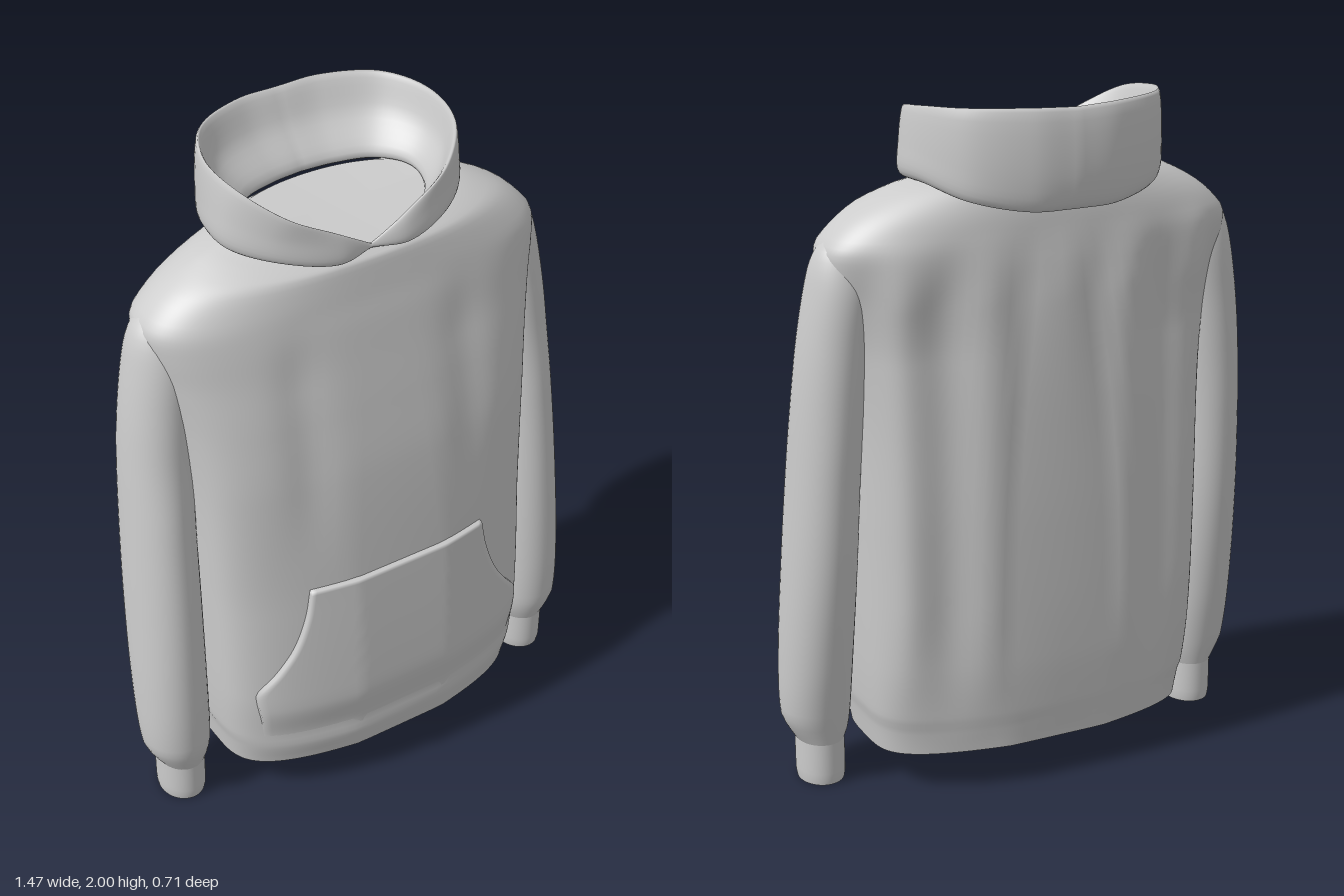
import * as THREE from 'three';

const material = new THREE.MeshStandardMaterial({ color: 0xcccccc });
const { clamp, smoothstep } = THREE.MathUtils;

// Smooth lookup in a table of rows [key, value, value, ...]
function sample(table, y) {
  const last = table.length - 1;
  let i = 0;
  while (i < last - 1 && y > table[i + 1][0]) i++;
  const a = table[i], b = table[i + 1], h = b[0] - a[0];
  const t = clamp((y - a[0]) / h, 0, 1);
  const slope = (k, c) => {
    const p = table[Math.max(k - 1, 0)], q = table[Math.min(k + 1, last)];
    return (q[c] - p[c]) / (q[0] - p[0]);
  };
  return a.slice(1).map((v, k) => {
    const c = k + 1, t2 = t * t, t3 = t2 * t;
    return v * (2 * t3 - 3 * t2 + 1) + b[c] * (3 * t2 - 2 * t3)
      + h * (slope(i, c) * (t3 - 2 * t2 + t) + slope(i + 1, c) * (t3 - t2));
  });
}

// Surface through rows of points, optionally wrapped and capped
function surface(name, rows, { wrapCols = true, wrapRows = false, caps = false } = {}) {
  const pos = [], idx = [], R = rows.length, C = rows[0].length;
  rows.forEach(row => row.forEach(p => pos.push(...p)));
  for (let i = 0; i < (wrapRows ? R : R - 1); i++) {
    for (let j = 0; j < (wrapCols ? C : C - 1); j++) {
      const i2 = (i + 1) % R, j2 = (j + 1) % C;
      const a = i * C + j, b = i * C + j2, c = i2 * C + j2, d = i2 * C + j;
      idx.push(a, b, c, a, c, d);
    }
  }
  if (caps) [rows[0], rows[R - 1]].forEach((row, top) => {
    const base = pos.length / 3;
    const mid = [0, 1, 2].map(k => row.reduce((s, p) => s + p[k], 0) / C);
    pos.push(...mid);
    row.forEach(p => pos.push(...p));
    for (let j = 0; j < C; j++) {
      const a = base + 1 + j, b = base + 1 + (j + 1) % C;
      idx.push(base, ...(top ? [a, b] : [b, a]));
    }
  });
  const geo = new THREE.BufferGeometry();
  geo.setAttribute('position', new THREE.Float32BufferAttribute(pos, 3));
  geo.setIndex(idx);
  geo.computeVertexNormals();
  const mesh = new THREE.Mesh(geo, material);
  mesh.name = name;
  return mesh;
}

const range = (n, a, b) => Array.from({ length: n + 1 }, (_, i) => a + (b - a) * i / n);
const signedPow = (v, e) => Math.sign(v) * Math.abs(v) ** e;
const bump = (x, centre, width) => Math.exp(-(((Math.abs(x) - centre) / width) ** 2));

// y, half width, front z, back z, squareness
const BODY = [
  [0.11, 0.49, 0.332, -0.245, 4], [0.2, 0.502, 0.345, -0.252, 4.2], [0.23, 0.51, 0.342, -0.256, 4.3],
  [0.4, 0.52, 0.342, -0.265, 4.5], [0.8, 0.528, 0.315, -0.27, 4.3],
  [1.1, 0.538, 0.285, -0.268, 3.8], [1.3, 0.56, 0.25, -0.264, 3.3], [1.45, 0.59, 0.22, -0.258, 2.9],
  [1.55, 0.612, 0.2, -0.25, 2.7], [1.61, 0.615, 0.186, -0.243, 2.6],
  [1.65, 0.585, 0.178, -0.238, 2.5], [1.69, 0.54, 0.17, -0.233, 2.4], [1.73, 0.475, 0.162, -0.225, 2.3],
  [1.77, 0.385, 0.15, -0.212, 2.2], [1.79, 0.3, 0.13, -0.195, 2.1],
];

// Depth of the body at x, scaled by k from -1 (back) to 1 (front); flanks fall away from the middle
function bodyZ(x, y, f, b, k) {
  const fade = k > 0 ? smoothstep(y, 0.7, 1.4) : smoothstep(y, 1.3, 1.65);
  const taper = 0.055 * Math.max(0, Math.abs(x) - 0.15) / 0.35 * (1 - fade);
  return (f + b) / 2 + k * ((f - b) / 2 - taper);
}

// Body cross-section with soft vertical folds and a dipped neckline
function bodyRing(y) {
  const [w, f, b, n] = sample(BODY, y);
  const neck = smoothstep(y, 1.7, 1.79);
  const backFold = smoothstep(y, 0.12, 0.6) * (1 - smoothstep(y, 1.45, 1.68));
  const chestFold = smoothstep(y, 0.8, 1.2) * (1 - smoothstep(y, 1.4, 1.65));
  return range(127, 0, Math.PI * 2 * 127 / 128).map(a => {
    const c = Math.cos(a), x = w * signedPow(Math.sin(a), 2 / n);
    const arch = 0.015 * Math.abs(c) * (1 - smoothstep(y, 0.11, 0.2));
    let z = bodyZ(x, y, f, b, signedPow(c, 2 / n));
    if (c < 0) z -= backFold * Math.min(1, -c * 3) * (0.01 * Math.cos(x * 29) + 0.012 * bump(x, 0.47, 0.05));
    else z -= chestFold * 0.012 * bump(x, 0.26, 0.07);
    return [x, y + arch - 0.05 * neck * Math.max(0, c), z];
  });
}

// Front pocket laid over the body: stepped at the top and openings, sewn flat into the hem
function makePocket() {
  const outline = [[0.225, 0.432], [0.3, 0.44], [0.4, 0.454], [0.43, 0.448], [0.5, 0.395],
    [0.58, 0.345], [0.68, 0.308], [0.775, 0.29]];
  const N = 44;
  const rows = range(N, 0, N).map(i => {
    const y = 0.225 + 0.55 * clamp(i / (N - 1), 0, 1);
    const [half] = sample(outline, y), [w, f, b, n] = sample(BODY, y);
    return range(N, 0, N).map(j => {
      const x = half * clamp((j - 1) / (N - 2) * 2 - 1, -1, 1);
      const edge = j === 0 || i === N || j === N;
      const lift = 0.015 * smoothstep(y, 0.225, 0.36) - 0.001;
      const z = bodyZ(x, y, f, b, (1 - Math.abs(x / w) ** n) ** (1 / n));
      return [x, y, z + (edge ? -0.01 : lift)];
    });
  });
  return surface('frontPocket', rows, { wrapCols: false });
}

// y, inner x, outer x, back z, front z
const SLEEVE = [
  [0.13, 0.55, 0.69, -0.015, 0.16], [0.16, 0.538, 0.708, -0.022, 0.17],
  [0.21, 0.53, 0.73, -0.034, 0.182], [0.4, 0.525, 0.735, -0.07, 0.183],
  [0.7, 0.518, 0.724, -0.112, 0.166], [1, 0.51, 0.708, -0.133, 0.136],
  [1.2, 0.495, 0.695, -0.138, 0.108], [1.35, 0.48, 0.68, -0.138, 0.093],
  [1.5, 0.46, 0.656, -0.135, 0.077], [1.58, 0.45, 0.636, -0.12, 0.057], [1.63, 0.45, 0.604, -0.1, 0.03],
  [1.66, 0.45, 0.55, -0.07, 0.01],
];
const CUFF = [[0, 0.553, 0.687, -0.01, 0.153], [0.02, 0.55, 0.69, -0.013, 0.157], [0.14, 0.55, 0.69, -0.015, 0.16]];

function tube(name, table, side, steps) {
  const rows = range(steps, table[0][0], table[table.length - 1][0]).map(y => {
    const [x0, x1, z0, z1] = sample(table, y);
    return range(47, 0, Math.PI * 2 * 47 / 48).map(a => [
      side * (x0 + x1) / 2 + (x1 - x0) / 2 * Math.sin(a), y, (z0 + z1) / 2 + (z1 - z0) / 2 * Math.cos(a)]);
  });
  return surface(name, rows, { caps: true });
}

// Hood rails, each from the front notch around the left side to the back
const HOOD = [
  // outer lower edge
  [[0, 1.742, 0.15], [0.11, 1.735, 0.17], [0.27, 1.768, 0.12], [0.362, 1.785, 0.01], [0.36, 1.79, -0.12], [0.28, 1.75, -0.255], [0.13, 1.72, -0.32], [0, 1.718, -0.332]],
  // outer bulge
  [[0, 1.746, 0.15], [0.11, 1.785, 0.167], [0.28, 1.84, 0.115], [0.363, 1.875, 0.01], [0.363, 1.87, -0.13], [0.285, 1.84, -0.27], [0.13, 1.815, -0.343], [0, 1.81, -0.357]],
  // rim
  [[0, 1.75, 0.147], [0.11, 1.82, 0.153], [0.245, 1.895, 0.128], [0.336, 1.962, 0.035], [0.353, 1.988, -0.11], [0.285, 1.998, -0.25], [0.13, 1.998, -0.325], [0, 1.993, -0.336]],
  // inner wall
  [[0, 1.745, 0.137], [0.1, 1.785, 0.135], [0.23, 1.84, 0.1], [0.312, 1.88, 0.01], [0.32, 1.895, -0.1], [0.255, 1.9, -0.215], [0.12, 1.9, -0.272], [0, 1.9, -0.282]],
  // inner lower edge
  [[0, 1.733, 0.13], [0.1, 1.738, 0.122], [0.2, 1.76, 0.08], [0.262, 1.785, 0], [0.262, 1.8, -0.08], [0.2, 1.803, -0.155], [0.1, 1.8, -0.192], [0, 1.798, -0.205]],
  // underside
  [[0, 1.733, 0.14], [0.11, 1.73, 0.145], [0.25, 1.758, 0.1], [0.32, 1.77, 0], [0.32, 1.776, -0.1], [0.25, 1.77, -0.2], [0.11, 1.765, -0.25], [0, 1.765, -0.26]],
];

function makeHood() {
  const N = 60, M = 36;
  const rails = HOOD.map(pts => new THREE.CatmullRomCurve3(pts.map(p => new THREE.Vector3(...p))));
  const columns = range(N, 0, 1).map(t => {
    const loop = new THREE.CatmullRomCurve3(rails.map(r => r.getPoint(t)), true);
    return range(M - 1, 0, (M - 1) / M).map(s => loop.getPoint(s).toArray());
  });
  const rows = range(M - 1, 0, M - 1).map(k => {
    const half = columns.map(c => c[k]);
    const mirrored = half.slice(1, -1).reverse().map(([x, y, z]) => [-x, y, z]);
    return [...half, ...mirrored];
  });
  return surface('hood', rows, { wrapRows: true });
}

export function createModel() {
  const group = new THREE.Group();
  group.name = 'hoodedSweatshirt';
  group.add(
    surface('torso', range(90, 0.11, 1.79).map(bodyRing), { caps: true }),
    makePocket(),
    makeHood(),
  );
  // Sleeves and cuffs on both sides
  for (const [side, label] of [[1, 'left'], [-1, 'right']]) {
    group.add(tube(label + 'Sleeve', SLEEVE, side, 60), tube(label + 'Cuff', CUFF, side, 8));
  }
  return group;
}
